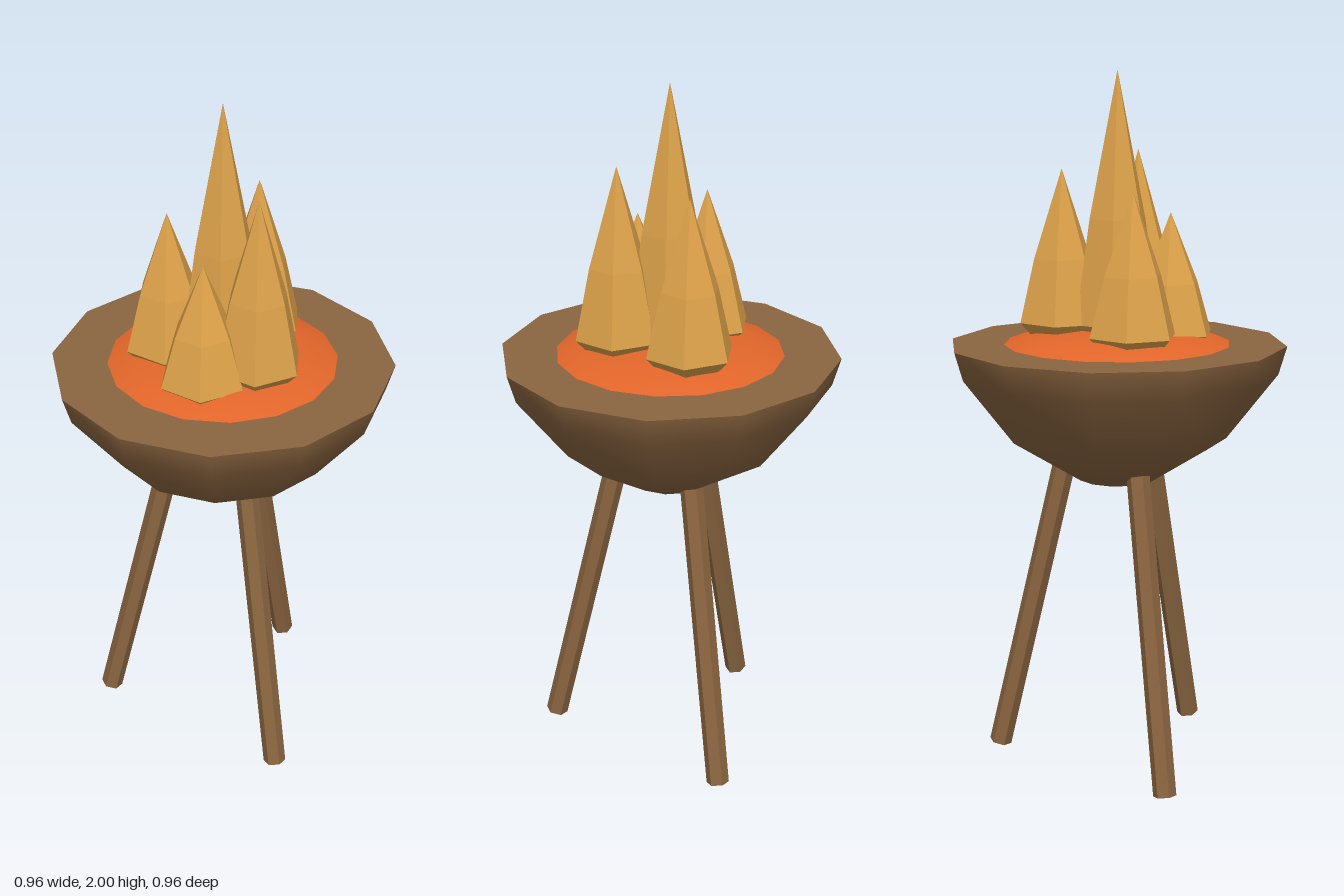
import * as THREE from 'three';

const wood = new THREE.MeshStandardMaterial({ color: 0x8a6540 });
wood.name = 'brown wood';
const ember = new THREE.MeshStandardMaterial({ color: 0xe2662a });
ember.name = 'ember orange';
const amber = new THREE.MeshStandardMaterial({ color: 0xdda24a });
amber.name = 'flame amber';

// Surface of revolution from [radius, height] pairs, listed bottom to top
function lathe(profile, sides, start = 0) {
  return new THREE.LatheGeometry(profile.map(([r, y]) => new THREE.Vector2(r, y)), sides, start);
}

// Gives every face its own flat normal
function faceted(geometry) {
  const g = geometry.toNonIndexed();
  g.computeVertexNormals();
  return g;
}

export function createModel() {
  const group = new THREE.Group();
  group.name = 'fireBrazier';
  const add = (name, geometry, material) => {
    const mesh = new THREE.Mesh(geometry, material);
    mesh.name = name;
    group.add(mesh);
    return mesh;
  };

  // Bowl with a flat filled top
  add('bowl', lathe([[0, 0.848], [0.115, 0.85], [0.313, 0.975], [0.457, 1.163], [0.48, 1.243]], 12), wood);
  const top = add('bowlTop', new THREE.CircleGeometry(0.48, 12), wood);
  top.rotation.x = -Math.PI / 2;
  top.position.y = 1.243;

  // Low mound of embers
  add('embers', lathe([[0.33, 1.24], [0.29, 1.255], [0.23, 1.273], [0.12, 1.283], [0, 1.287]], 16), ember)
    .geometry.rotateY(0);

  // Flames: [x, z, base height, tip height]
  const flames = [
    [0, 0, 1.3, 2.0],
    [0.035, 0.14, 1.3, 1.78],
    [0.144, -0.07, 1.3, 1.73],
    [-0.123, -0.089, 1.285, 1.68],
    [-0.108, 0.104, 1.27, 1.61],
  ];
  flames.forEach(([x, z, base, tip], i) => {
    const r = 0.127;
    const profile = [
      [0, base - 0.035], [r * 0.75, base - 0.035], [r, base],
      [r * 0.66, base + (tip - base) * 0.42], [0, tip],
    ];
    add('flame' + (i + 1), faceted(lathe(profile, 6, Math.PI / 6)), amber).position.set(x, 0, z);
  });

  // Three splayed legs, one at the front
  const footPoint = new THREE.Vector3(0, 0.012, 0.358);
  const topPoint = new THREE.Vector3(0, 0.95, 0.141);
  const axis = new THREE.Vector3().subVectors(topPoint, footPoint);
  ['frontLeg', 'backLeftLeg', 'backRightLeg'].forEach((name, i) => {
    const g = faceted(new THREE.CylinderGeometry(0.033, 0.033, axis.length(), 6));
    g.rotateX(Math.atan2(axis.z, axis.y));
    g.translate(0, (footPoint.y + topPoint.y) / 2, (footPoint.z + topPoint.z) / 2);
    add(name, g, wood).rotation.y = (i * Math.PI * 2) / 3;
  });

  return group;
}
